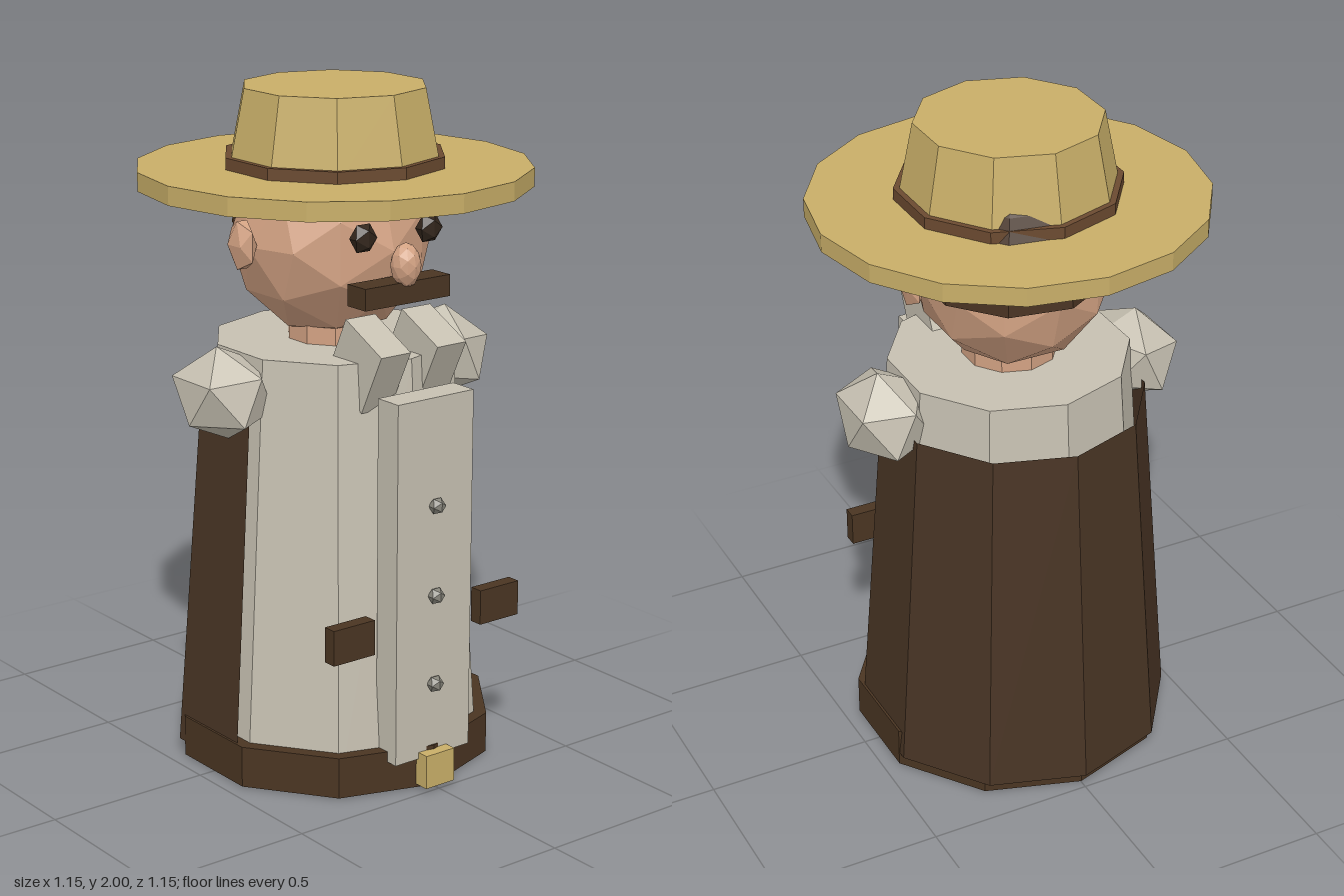
import * as THREE from 'three';

const mat = (name, color, extra = {}) => {
  const m = new THREE.MeshStandardMaterial({ color, flatShading: true, ...extra });
  m.name = name;
  return m;
};

export function createModel() {
  const straw = mat('straw', 0xc8ae68);
  const ribbon = mat('ribbon', 0x6b4a30);
  const skin = mat('skin', 0xd3a283);
  const cloth = mat('pale cloth', 0xc6c0b1);
  const brown = mat('dark brown', 0x4a3522);
  const cloakBrown = mat('cloak brown', 0x483424, { side: THREE.DoubleSide });
  const hairBrown = mat('hair', 0x46301f, { side: THREE.DoubleSide });
  const eyeDark = mat('eye', 0x33261c);
  const metal = mat('button grey', 0x86847a);

  const model = new THREE.Group();
  model.name = 'figure';

  const add = (name, geometry, material, x, y, z) => {
    const mesh = new THREE.Mesh(geometry, material);
    mesh.name = name;
    mesh.position.set(x, y, z);
    model.add(mesh);
    return mesh;
  };
  // Vertical round part between two heights
  const drum = (name, rTop, rBottom, y0, y1, sides, material) =>
    add(name, new THREE.CylinderGeometry(rTop, rBottom, y1 - y0, sides), material, 0, (y0 + y1) / 2, 0);
  const box = (name, w, h, d, material, x, y, z) =>
    add(name, new THREE.BoxGeometry(w, h, d), material, x, y, z);
  // Faceted ball with separate radii
  const ball = (name, rx, ry, rz, detail, material, x, y, z) => {
    const mesh = add(name, new THREE.IcosahedronGeometry(1, detail), material, x, y, z);
    mesh.scale.set(rx, ry, rz);
    return mesh;
  };

  // Coat body and hem
  drum('body', 0.357, 0.445, 0, 1.265, 10, cloth);
  drum('hemBand', 0.475, 0.475, 0.003, 0.127, 10, brown);

  // Cloak wrapped round the back, open at the front
  add('cloak', new THREE.CylinderGeometry(0.39, 0.474, 1.085, 6, 1, true, Math.PI * 0.4, Math.PI * 1.2),
    cloakBrown, 0, 0.5875, -0.03);

  // Front placket, buttons and buckle
  box('placket', 0.274, 1.082, 0.09, cloth, 0, 0.636, 0.423);
  for (const y of [0.86, 0.59, 0.32]) ball('button', 0.026, 0.026, 0.026, 0, metal, 0, y, 0.477);
  box('buckle', 0.104, 0.102, 0.05, straw, 0, 0.064, 0.48);

  // Neck and head
  drum('neck', 0.14, 0.14, 1.2, 1.32, 10, skin);
  ball('head', 0.294, 0.294, 0.294, 1, skin, 0, 1.56, -0.018);
  ball('nose', 0.044, 0.065, 0.045, 1, skin, 0, 1.53, 0.328);
  box('moustache', 0.306, 0.063, 0.08, brown, 0, 1.453, 0.3);

  // Hair dome, showing at the back under the hat
  const hair = add('hair', new THREE.SphereGeometry(0.272, 9, 4, 0, Math.PI * 2, 0, Math.PI / 2),
    hairBrown, 0.04, 1.575, -0.1);
  hair.scale.y = 1.36;
  const hairBase = add('hairBase', new THREE.CircleGeometry(0.272, 9, Math.PI), hairBrown, 0.04, 1.575, -0.1);
  hairBase.rotation.x = Math.PI / 2;

  // Mirrored parts
  for (const s of [-1, 1]) {
    ball('eye', 0.044, 0.046, 0.03, 0, eyeDark, s * 0.118, 1.615, 0.285);
    box('eyebrow', 0.112, 0.026, 0.037, brown, s * 0.119, 1.688, 0.289);
    ball('ear', 0.034, 0.082, 0.059, 0, skin, s * 0.315, 1.57, -0.018);
    box('pocketFlap', 0.146, 0.105, 0.042, brown, s * 0.27, 0.498, 0.423);
    const collar = box('collar', 0.105, 0.2, 0.18, cloth, s * 0.101, 1.2525, 0.288);
    collar.rotation.x = 0.46;
    const shoulder = ball('shoulder', 0.14, 0.14, 0.178, 0, cloth, s * 0.402, 1.155, 0);
    shoulder.rotation.z = s * 0.42;
  }

  // Hat
  drum('hatBrim', 0.575, 0.575, 1.717, 1.772, 16, straw);
  drum('hatBand', 0.327, 0.327, 1.77, 1.806, 10, ribbon);
  drum('hatCrown', 0.27, 0.316, 1.77, 2, 10, straw);

  return model;
}
